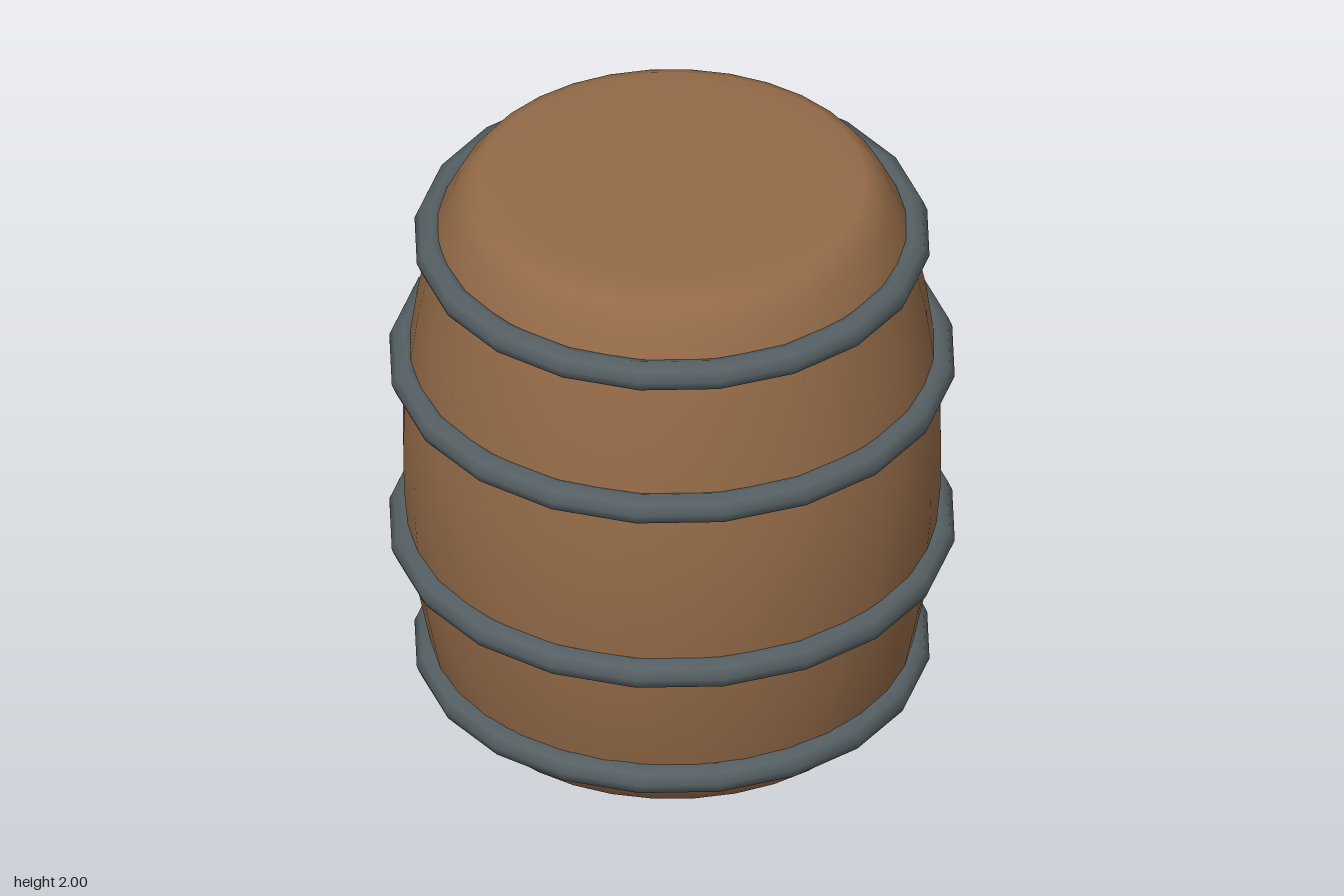
import * as THREE from 'three';

export function createModel() {
  const group = new THREE.Group();
  const wood = new THREE.MeshStandardMaterial({ color: 0x946b48 });
  wood.name = 'wood';
  const iron = new THREE.MeshStandardMaterial({ color: 0x566064 });
  iron.name = 'iron';

  // Bulging cask: radius and height from the bottom centre to the top centre
  const profile = [
    [0, 0], [0.22, 0.003], [0.39, 0.01], [0.57, 0.035], [0.67, 0.1], [0.73, 0.19],
    [0.765, 0.3], [0.805, 0.5], [0.832, 0.7], [0.848, 0.88], [0.85, 1.02],
    [0.848, 1.16], [0.832, 1.34], [0.805, 1.54], [0.765, 1.74], [0.74, 1.83],
    [0.69, 1.93], [0.65, 1.98], [0.61, 1.998], [0.52, 2], [0, 2],
  ].map(([r, y]) => new THREE.Vector2(r, y));
  const cask = new THREE.Mesh(new THREE.LatheGeometry(profile, 32), wood);
  cask.name = 'cask';
  group.add(cask);

  // Four iron hoops, the two middle ones wider
  [[0.246, 0.767], [0.705, 0.847], [1.335, 0.847], [1.79, 0.767]].forEach(([y, r], i) => {
    const hoop = new THREE.Mesh(new THREE.TorusGeometry(r, 0.05, 8, 20), iron);
    hoop.name = `hoop${i + 1}`;
    hoop.rotation.x = Math.PI / 2;
    hoop.position.y = y;
    group.add(hoop);
  });

  return group;
}
